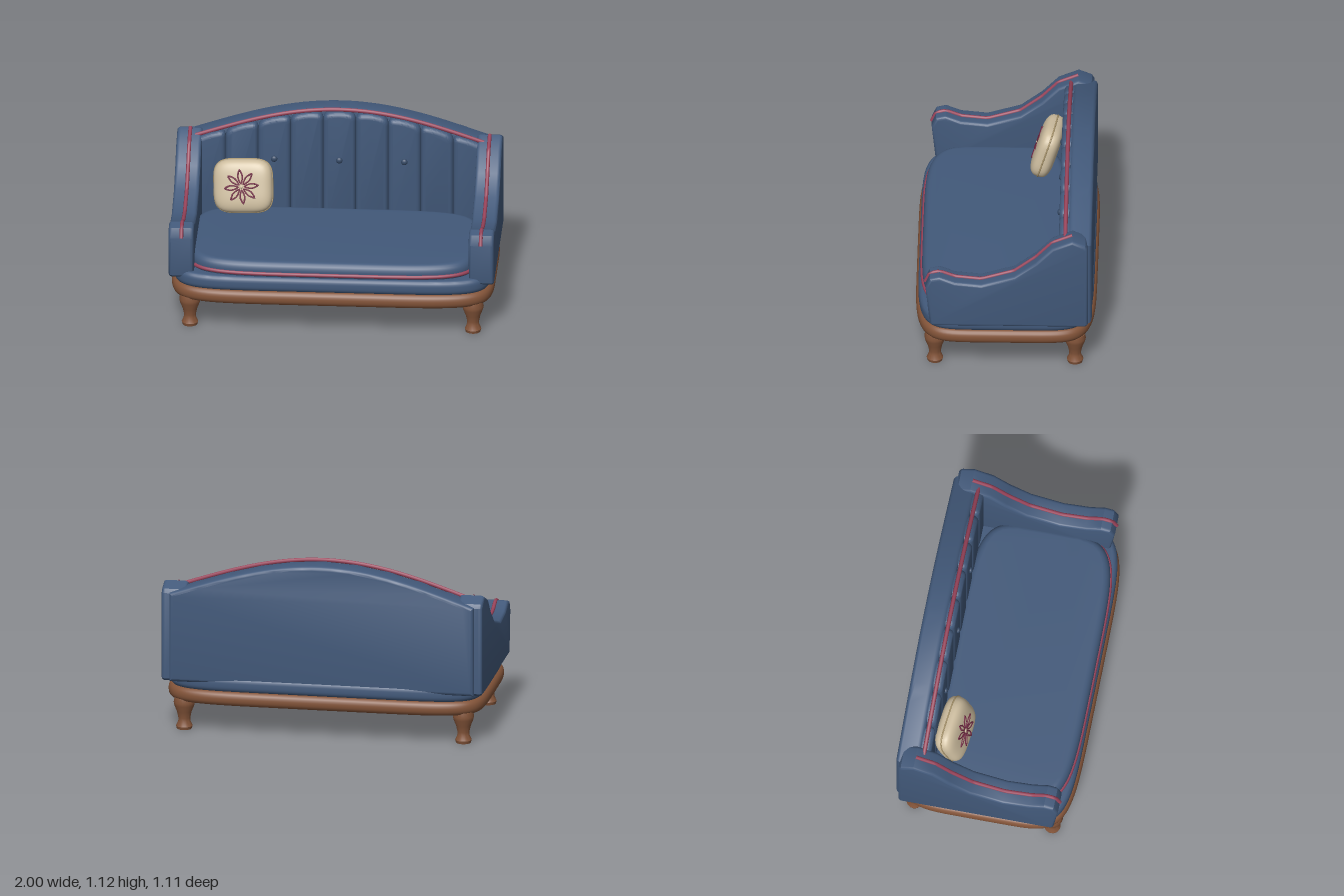
import * as THREE from 'three';
import { mergeVertices, toCreasedNormals } from 'three/addons/utils/BufferGeometryUtils.js';

const material = (name, color) => {
  const m = new THREE.MeshStandardMaterial({ color });
  m.name = name;
  return m;
};
const V3 = (x, y, z) => new THREE.Vector3(x, y, z);

export function createModel() {
  const fabric = material('blueFabric', 0x42597a);
  const piping = material('rosePiping', 0x98435a);
  const wood = material('brownWood', 0x835439);
  const cream = material('creamCloth', 0xcdbd9f);
  const cord = material('tanCord', 0xa8946c);
  const thread = material('wineThread', 0x742b45);
  const dark = material('darkBlueButton', 0x364a66);

  const sofa = new THREE.Group();
  sofa.name = 'sofa';
  const add = (name, geo, mat, parent = sofa) => {
    const mesh = new THREE.Mesh(geo, mat);
    mesh.name = name;
    parent.add(mesh);
    return mesh;
  };

  // Extrusion with rounded edges, kept inside its outline and from z = 0 to depth
  const padded = (shape, depth, thick, size = thick) => {
    const geo = new THREE.ExtrudeGeometry(shape, {
      depth: depth - 2 * thick, bevelThickness: thick, bevelSize: size,
      bevelOffset: -size, bevelSegments: 5, curveSegments: 10,
    });
    geo.translate(0, 0, thick);
    return toCreasedNormals(geo, 0.55);
  };

  // Rounded rectangle outline: higher n gives squarer corners
  const roundedPoint = (a, b, n, t) => {
    const c = Math.cos(t), s = Math.sin(t);
    return new THREE.Vector2(
      a * Math.sign(c) * Math.abs(c) ** (2 / n),
      b * Math.sign(s) * Math.abs(s) ** (2 / n));
  };
  const roundedOutline = (a, b, n, count = 96) =>
    Array.from({ length: count }, (_, i) => roundedPoint(a, b, n, (i / count) * Math.PI * 2));
  const slab = (name, mat, a, b, n, y0, y1, bevel, size, z = 0) => {
    const geo = padded(new THREE.Shape(roundedOutline(a, b, n)), y1 - y0, bevel, size);
    geo.rotateX(-Math.PI / 2);
    add(name, geo, mat).position.set(0, y0, z);
  };
  const tube = (name, points, radius, mat, parent, closed = false, tension = 0.5) => {
    const curve = new THREE.CatmullRomCurve3(points, closed, 'catmullrom', tension);
    return add(name, new THREE.TubeGeometry(curve, points.length * 4, radius, 8, closed), mat, parent);
  };

  // Wooden base, upholstered deck and seat cushion
  slab('woodenBase', wood, 0.993, 0.555, 6, 0.185, 0.275, 0.04, 0.035);
  slab('seatDeck', fabric, 0.98, 0.54, 6.5, 0.27, 0.365, 0.035, 0.03);
  slab('seatCushion', fabric, 0.88, 0.44, 5, 0.34, 0.458, 0.05, 0.045, 0.08);

  // Piping around the front of the cushion
  const seatEdge = [];
  for (let i = 0; i <= 40; i++) {
    const p = roundedPoint(0.88, 0.44, 5, 0.05 + (i / 40) * (Math.PI - 0.1));
    seatEdge.push(V3(p.x, 0.386, p.y + 0.08));
  }
  tube('seatPiping', seatEdge, 0.012, piping);

  // Turned legs
  const legProfile = [[0, 0], [0.046, 0], [0.051, 0.018], [0.037, 0.05], [0.037, 0.07],
    [0.046, 0.11], [0.062, 0.15], [0.066, 0.17], [0.06, 0.2], [0, 0.2]]
    .map(([r, y]) => new THREE.Vector2(r, y));
  for (const x of [-0.87, 0.87]) for (const z of [-0.43, 0.43]) {
    const geo = toCreasedNormals(new THREE.LatheGeometry(legProfile, 20), 0.6);
    add('leg', geo, wood).position.set(x, 0, z);
  }

  // Scrolled arms with piping along the crest
  const crest = [[0.487, 0.595], [0.46, 0.655], [0.4, 0.67], [0.305, 0.633], [0.145, 0.617],
    [-0.058, 0.678], [-0.19, 0.78], [-0.29, 0.885], [-0.415, 0.938]];
  const armShape = new THREE.Shape([[-0.495, 0.32], [0.445, 0.32], [0.46, 0.335], ...crest,
    [-0.495, 0.905], [-0.51, 0.88], [-0.51, 0.335]].map(([z, y]) => new THREE.Vector2(z, y)));
  for (const side of [-1, 1]) {
    const geo = padded(armShape, 0.155, 0.022, 0.018);
    geo.rotateY(-Math.PI / 2);
    add(side > 0 ? 'leftArm' : 'rightArm', geo, fabric).position.x = side > 0 ? 1 : -0.845;
    tube('armPiping', crest.map(([z, y]) => V3(side * 0.92, y, z)), 0.012, piping, sofa, false, 0);
  }

  // Arched backrest
  const arch = (x, drop = 0) => 0.905 + 0.197 * Math.cos((Math.PI * x) / 1.78) - drop;
  const backShape = new THREE.Shape();
  backShape.moveTo(-0.95, 0.32);
  backShape.lineTo(0.95, 0.32);
  for (let i = 0; i <= 32; i++) {
    const x = 0.95 - (i / 32) * 1.9;
    backShape.lineTo(x, arch(x));
  }
  add('backrest', padded(backShape, 0.145, 0.03, 0.025), fabric).position.z = -0.533;
  const backEdge = Array.from({ length: 33 }, (_, i) => {
    const x = -0.89 + (i / 32) * 1.78;
    return V3(x, arch(x), -0.37);
  });
  tube('backPiping', backEdge, 0.013, piping);

  // Padded vertical channels on the inner back
  for (let i = -4; i <= 4; i++) {
    const l = i * 0.2 - 0.1, r = l + 0.2, c = i * 0.2;
    const yl = arch(l, 0.012), yr = arch(r, 0.012), yc = arch(c, 0.008);
    const s = new THREE.Shape();
    s.moveTo(l, 0.36);
    s.lineTo(r, 0.36);
    s.lineTo(r, yr - 0.05);
    s.quadraticCurveTo(r, yr, r - 0.05, (yr + yc) / 2);
    s.quadraticCurveTo(c, yc + 0.005, l + 0.05, (yl + yc) / 2);
    s.quadraticCurveTo(l, yl, l, yl - 0.05);
    add('backChannel', padded(s, 0.085, 0.034, 0.03), fabric).position.z = -0.415;
  }

  // Tufting buttons
  for (const x of [-0.4, 0, 0.4]) {
    const button = add('button', new THREE.SphereGeometry(0.02, 16, 12), dark);
    button.position.set(x, 0.78, -0.326);
    button.scale.z = 0.7;
  }

  // Throw pillow: a sphere pressed into a plump rounded square
  const pillow = new THREE.Group();
  pillow.name = 'throwPillow';
  pillow.position.set(-0.583, 0.637, -0.232);
  pillow.rotation.set(-0.3, -0.13, 0.04);
  sofa.add(pillow);
  const W = 0.183, H = 0.166, T = 0.07;
  let ball = new THREE.SphereGeometry(1, 48, 32);
  ball.rotateX(Math.PI / 2);
  const pos = ball.attributes.position;
  for (let i = 0; i < pos.count; i++) {
    const x = pos.getX(i), y = pos.getY(i), z = pos.getZ(i);
    const r = Math.hypot(x, y);
    const q = r < 1e-5 ? 0 : Math.sqrt(r) / (x ** 4 + y ** 4) ** 0.25;
    pos.setXYZ(i, x * q * W, y * q * H, Math.sign(z) * Math.abs(z) ** 0.7 * T);
  }
  ball.deleteAttribute('uv');
  ball.deleteAttribute('normal');
  ball = mergeVertices(ball, 1e-5);
  ball.computeVertexNormals();
  add('pillowBody', ball, cream, pillow);
  tube('pillowCord', roundedOutline(W, H, 4, 40).map(p => V3(p.x, p.y, 0)), 0.005, cord, pillow, true);

  // Embroidered eight-petal flower
  const flower = new THREE.Group();
  flower.name = 'flower';
  flower.position.z = T - 0.001;
  pillow.add(flower);
  const petal = [[0.018, 0], [0.045, 0.011], [0.07, 0.014], [0.106, 0],
    [0.07, -0.014], [0.045, -0.011]].map(([x, y]) => V3(x, y, 0));
  for (let i = 0; i < 8; i++) {
    tube('petal', petal, 0.005, thread, flower, true, 0.3).rotation.z = (i * Math.PI) / 4 + 0.1;
  }
  const heart = add('flowerCentre', new THREE.SphereGeometry(0.012, 12, 8), cream, flower);
  heart.scale.z = 0.6;

  return sofa;
}
